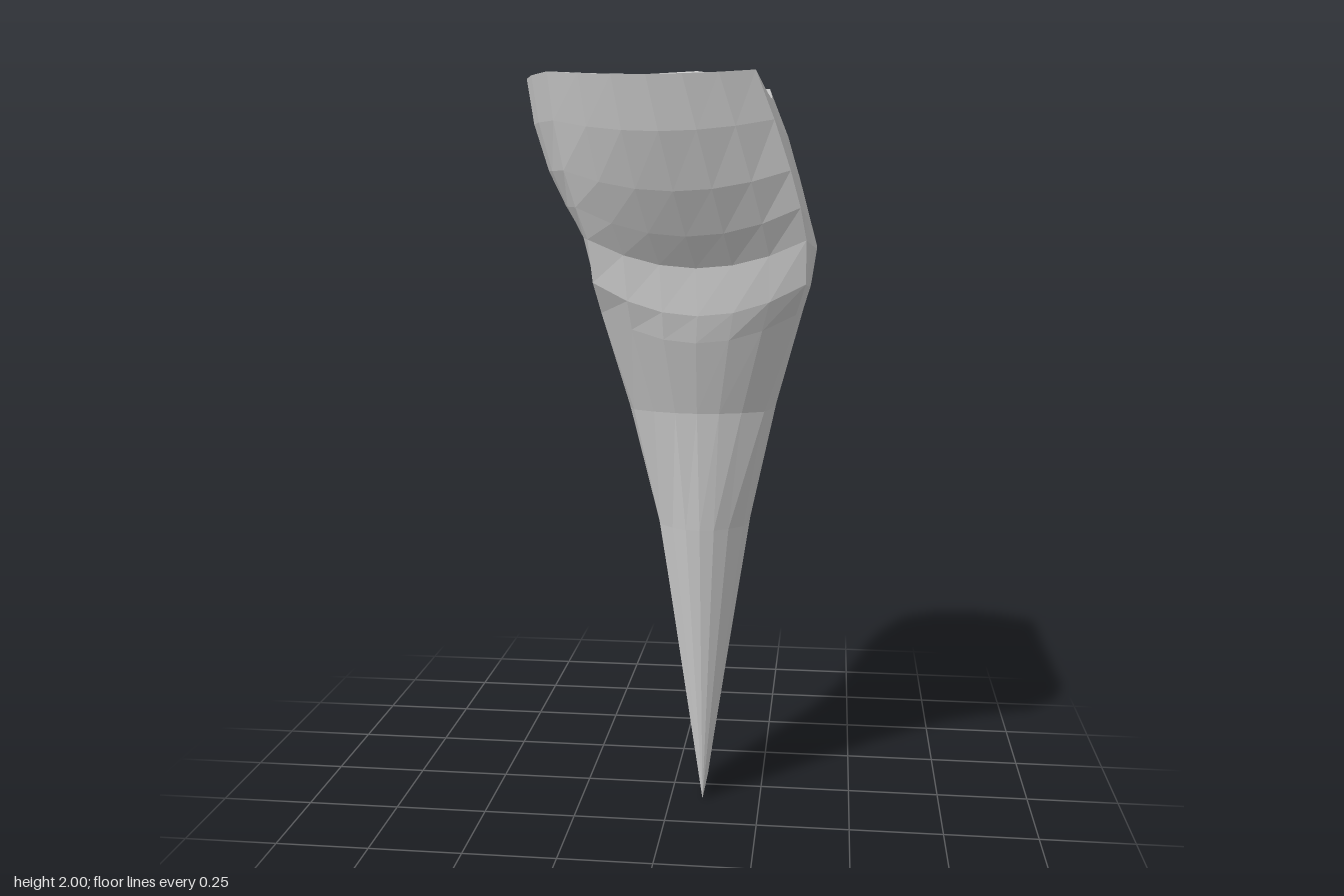
import * as THREE from 'three';

const SEG = 6; // facets along each of the four sides

// Corner heights and half-extents of each section, from the chewing surface to the root tip.
// Each side runs from corner to corner and bows out to its middle value.
const sections = [
  { y: 2.0, xa: 0.06, xb: 0.06, zc: 0, x0: 0.06, x1: 0.06, zf: 0, zb: 0, dip: 0, dipX: 0 },
  { y: 1.975, xa: -0.13, xb: 0.15, zc: 0.2, x0: -0.2, x1: 0.17, zf: 0.25, zb: -0.25, dip: 0, dipX: 0.02 },
  { y: 1.975, xa: -0.27, xb: 0.235, zc: 0.365, x0: -0.385, x1: 0.255, zf: 0.46, zb: -0.465, dip: 0.015, dipX: 0.045 },
  { y: 1.86, xa: -0.26, xb: 0.28, zc: 0.345, x0: -0.368, x1: 0.3, zf: 0.44, zb: -0.45, dip: 0.03, dipX: 0.03 },
  { y: 1.74, xa: -0.24, xb: 0.32, zc: 0.325, x0: -0.33, x1: 0.335, zf: 0.395, zb: -0.41, dip: 0.05, dipX: 0.03 },
  { y: 1.65, xa: -0.215, xb: 0.345, zc: 0.305, x0: -0.285, x1: 0.36, zf: 0.34, zb: -0.35, dip: 0.07, dipX: 0.03 },
  { y: 1.57, xa: -0.19, xb: 0.36, zc: 0.28, x0: -0.237, x1: 0.383, zf: 0.29, zb: -0.29, dip: 0.07, dipX: 0.03 },
  { y: 1.46, xa: -0.18, xb: 0.36, zc: 0.265, x0: -0.2, x1: 0.368, zf: 0.29, zb: -0.28, dip: 0.08, dipX: 0.02 },
  { y: 1.38, xa: -0.165, xb: 0.335, zc: 0.225, x0: -0.185, x1: 0.35, zf: 0.277, zb: -0.268, dip: 0.07, dipX: 0 },
  { y: 1.12, xa: -0.09, xb: 0.255, zc: 0.155, x0: -0.12, x1: 0.28, zf: 0.22, zb: -0.195, dip: 0, dipX: 0 },
  { y: 0.8, xa: -0.025, xb: 0.2, zc: 0.115, x0: -0.038, x1: 0.212, zf: 0.19, zb: -0.165, dip: 0, dipX: 0 },
  { y: 0, xa: 0.09, xb: 0.09, zc: 0.09, x0: 0.09, x1: 0.09, zf: 0.1, zb: -0.08, dip: 0, dipX: 0 },
];

function sectionLoop(s) {
  const zShift = s.y < 1.2 ? 0.01 : 0;
  const zF = s.zc + zShift, zB = -s.zc + zShift;
  const corners = [[s.xb, zF], [s.xa, zF], [s.xa, zB], [s.xb, zB]];
  // Outward bow of the front, right, back and left sides
  const bows = [
    [0, s.zf - zF, s.dip], [s.x0 - s.xa, 0, 0],
    [0, s.zb - zB, s.dip], [s.x1 - s.xb, 0, s.dipX],
  ];
  const loop = [];
  for (let side = 0; side < 4; side++) {
    const [ax, az] = corners[side], [bx, bz] = corners[(side + 1) % 4];
    const [dx, dz, dip] = bows[side];
    for (let k = 0; k < SEG; k++) {
      const t = k / SEG, w = 4 * t * (1 - t);
      loop.push(new THREE.Vector3(
        ax + (bx - ax) * t + dx * w,
        s.y - dip * w,
        az + (bz - az) * t + dz * w));
    }
  }
  return loop;
}

// Skin the loops, leaving out collapsed triangles
function loft(loops) {
  const pos = [], tri = new THREE.Triangle();
  const add = (a, b, c) => {
    if (tri.set(a, b, c).getArea() > 1e-7) for (const p of [a, b, c]) pos.push(p.x, p.y, p.z);
  };
  for (let r = 0; r < loops.length - 1; r++) {
    const up = loops[r], low = loops[r + 1], n = up.length;
    for (let k = 0; k < n; k++) {
      const m = (k + 1) % n;
      add(up[k], up[m], low[m]);
      add(up[k], low[m], low[k]);
    }
  }
  const geo = new THREE.BufferGeometry();
  geo.setAttribute('position', new THREE.Float32BufferAttribute(pos, 3));
  geo.computeVertexNormals();
  return geo;
}

export function createModel() {
  const group = new THREE.Group();
  group.name = 'tooth';
  const material = new THREE.MeshStandardMaterial({ color: 0xcccccc, flatShading: true });
  const loops = sections.map(sectionLoop);
  const neck = 8; // section where the crown meets the root
  const parts = { crown: loops.slice(0, neck + 1), root: loops.slice(neck) };
  for (const [name, part] of Object.entries(parts)) {
    const mesh = new THREE.Mesh(loft(part), material);
    mesh.name = name;
    group.add(mesh);
  }
  return group;
}
